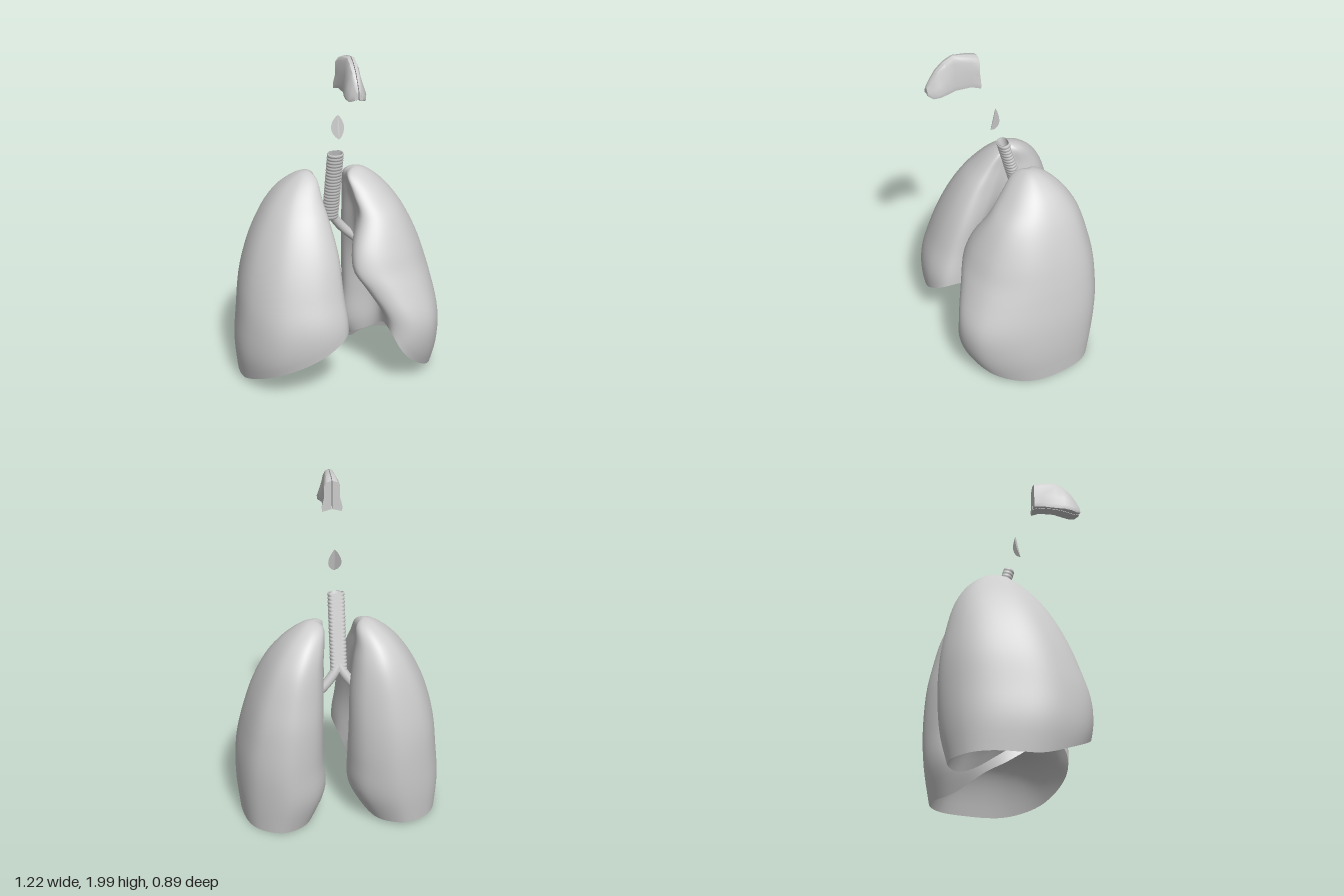
import * as THREE from 'three';
import { toCreasedNormals } from 'three/addons/utils/BufferGeometryUtils.js';

const TOP = 1.235; // apex height of the lungs
const grey = new THREE.MeshStandardMaterial({ color: 0xcccccc, roughness: 0.7 });
const greyThin = new THREE.MeshStandardMaterial({ color: 0xcccccc, roughness: 0.7, side: THREE.DoubleSide });

function mesh(name, geometry, material = grey) {
  const m = new THREE.Mesh(geometry, material);
  m.name = name;
  return m;
}

// Surface through rows of closed loops; point(i, j) gives [x, y, z]
function loft(rows, cols, point, flip) {
  const positions = [], index = [];
  for (let i = 0; i <= rows; i++)
    for (let j = 0; j < cols; j++) positions.push(...point(i, j));
  for (let i = 0; i < rows; i++)
    for (let j = 0; j < cols; j++) {
      const k = (j + 1) % cols;
      const a = i * cols + j, b = a + cols, c = i * cols + k, d = c + cols;
      if (flip) index.push(a, b, c, c, b, d);
      else index.push(a, c, b, c, d, b);
    }
  const g = new THREE.BufferGeometry();
  g.setAttribute('position', new THREE.Float32BufferAttribute(positions, 3));
  g.setIndex(index);
  g.computeVertexNormals();
  return g;
}

// Horizontal lung outline: x = 0 medial to 1 lateral, z = -1 back to 1 front
const outline = new THREE.CatmullRomCurve3([
  [0.48, -1], [0.84, -0.76], [1, -0.1], [0.95, 0.45], [0.7, 0.87], [0.3, 1],
  [0.04, 0.88], [0.0, 0.5], [0.03, 0.05], [0.0, -0.4], [0.15, -0.82],
].map(([u, v]) => new THREE.Vector3(u, 0, v)), true);

// Levels: y, lateral x, medial x at front, medial x at back, front z, back z
const rightLevels = [
  [1.235, 0.15, 0.15, 0.15, -0.1, -0.1], [1.2, 0.24, 0.105, 0.1, -0.02, -0.2],
  [1.1, 0.35, 0.09, 0.09, 0.08, -0.3], [1.0, 0.42, 0.07, 0.07, 0.165, -0.355],
  [0.8, 0.515, 0.035, 0.04, 0.28, -0.41], [0.6, 0.57, 0.025, 0.03, 0.36, -0.44],
  [0.4, 0.595, 0.01, 0.03, 0.42, -0.445], [0.2, 0.61, 0.03, 0.05, 0.4, -0.43],
  [0, 0.59, 0.13, 0.16, 0.3, -0.39],
];
const leftLevels = [
  [1.235, 0.15, 0.15, 0.15, -0.1, -0.1], [1.2, 0.24, 0.085, 0.09, -0.02, -0.2],
  [1.1, 0.35, 0.1, 0.09, 0.08, -0.3], [1.0, 0.42, 0.115, 0.095, 0.165, -0.355],
  [0.8, 0.51, 0.045, 0.09, 0.28, -0.41], [0.7, 0.54, 0.045, 0.09, 0.32, -0.43],
  [0.6, 0.565, 0.11, 0.09, 0.36, -0.44], [0.4, 0.6, 0.215, 0.09, 0.42, -0.445],
  [0.2, 0.605, 0.18, 0.085, 0.4, -0.43], [0, 0.585, 0.2, 0.17, 0.3, -0.39],
];

function lung(name, side, levels, rimLow, rimFlat, rimRise, hollow) {
  const rows = 44, cols = 88, baseRows = 14;
  const depth = (y) => Math.sqrt(TOP - y); // rounds the apex
  const bump = (x, middle, width) => Math.exp(-(((x - middle) / width) ** 2));
  const shape = new THREE.CubicInterpolant(
    levels.map((l) => depth(l[0])), levels.flatMap((l) => l.slice(1)), 5, new Array(5));
  const wall = (t, j) => {
    const { x, z: v } = outline.getPoint(j / cols);
    // The lower border climbs from the back to the front and the middle
    const m = THREE.MathUtils.clamp(x, 0, 1);
    const rim = rimLow + THREE.MathUtils.smoothstep(v, -0.9, 0.8) * (rimFlat * (1 - m ** 4) + rimRise * (1 - m) ** 2);
    const q = t * depth(rim), y = TOP - q * q;
    // Hollow of the medial face, around the heart
    const u = x + hollow * bump(v, 0.08, 0.36) * bump(y, 0.6, 0.32) * Math.max(0, 1 - 2 * x);
    const [outer, inFront, inBack, front, back] = shape.evaluate(q);
    const f = (v + 1) / 2;
    const inner = THREE.MathUtils.lerp(inBack, inFront, THREE.MathUtils.smoothstep(f, 0.3, 0.8));
    return [side * (inner + u * (outer - inner)), y, back + f * (front - back)];
  };
  const centre = [side * 0.34, 0.33, -0.03];
  const base = (i, j) => {
    const r = 1 - i / baseRows, p = wall(1, j);
    return [
      centre[0] + (p[0] - centre[0]) * r,
      centre[1] + (p[1] - centre[1]) * r * r * r,
      centre[2] + (p[2] - centre[2]) * r,
    ];
  };
  const g = new THREE.Group();
  g.name = name;
  g.add(mesh('lungWall', loft(rows, cols, (i, j) => wall(i / rows, j), side < 0)));
  g.add(mesh('lungBase', loft(baseRows, cols, base, side < 0)));
  return g;
}

// Ringed windpipe with a flat back, leaning backwards as it descends
function windpipe() {
  const rings = 21, steps = rings * 6, y0 = 0.92, y1 = 1.36, profile = [];
  for (let i = 0; i <= steps; i++) {
    const ripple = Math.abs(Math.sin((i / steps) * rings * Math.PI));
    profile.push(new THREE.Vector2(0.046 + 0.004 * ripple, y0 + (y1 - y0) * i / steps));
  }
  profile.push(new THREE.Vector2(0.038, y1), new THREE.Vector2(0.036, y1 - 0.05));
  const g = new THREE.LatheGeometry(profile, 32);
  const p = g.attributes.position;
  for (let i = 0; i < p.count; i++) {
    const y = p.getY(i), z = Math.max(p.getZ(i) * 0.75, -0.027);
    p.setXYZ(i, p.getX(i), y + z * -0.2, z - 0.005 - (y1 - y) * 0.27);
  }
  g.computeVertexNormals();
  return mesh('windpipe', g, greyThin);
}

function bronchus(name, side) {
  const path = new THREE.CatmullRomCurve3([
    [0, 0.96, -0.115], [side * 0.02, 0.92, -0.127], [side * 0.08, 0.84, -0.14], [side * 0.2, 0.73, -0.145],
  ].map((p) => new THREE.Vector3(...p)));
  return mesh(name, new THREE.TubeGeometry(path, 20, 0.028, 16), greyThin);
}

// Thin leaf, pointed below and folded along its middle
function epiglottis() {
  const g = new THREE.PlaneGeometry(2, 1, 12, 14);
  const p = g.attributes.position;
  for (let i = 0; i < p.count; i++) {
    const u = p.getX(i), t = p.getY(i) + 0.5;
    const w = 0.037 * Math.pow(Math.sin(Math.PI * Math.pow(t, 0.85)), 0.8) + 0.001;
    p.setXYZ(i, u * w, 1.465 + 0.135 * t, 0.072 - 0.03 * t - 0.022 * Math.abs(u) * (w / 0.037));
  }
  g.computeVertexNormals();
  return mesh('epiglottis', g, greyThin);
}

// Nose half. Sections: z, top y, bottom y, half widths near top, middle and bottom
const noseSections = [
  [0.15, 1.97, 1.79, 0.046, 0.046, 0.06], [0.2, 1.985, 1.805, 0.043, 0.04, 0.048],
  [0.29, 2.0, 1.805, 0.03, 0.034, 0.045], [0.34, 1.975, 1.8, 0.03, 0.042, 0.056],
  [0.385, 1.935, 1.792, 0.027, 0.044, 0.059], [0.42, 1.885, 1.786, 0.022, 0.036, 0.047],
  [0.445, 1.845, 1.8, 0.012, 0.02, 0.024],
];
function noseHalf(name, side) {
  const n = noseSections.length, gap = 0.002;
  const point = (i, j) => {
    const [z, top, bottom, a, b, c] = noseSections[Math.min(Math.max(i - 1, 0), n - 1)];
    const h = top - bottom;
    const ring = [
      [gap, top], [a * 0.65, top - h * 0.04], [a, top - h * 0.17], [b, top - h * 0.55],
      [c, top - h * 0.85], [c * 0.95, bottom], [gap, bottom + h * 0.08],
    ];
    const [x, y] = i === 0 || i === n + 1 ? [b * 0.5, (top + bottom) / 2] : ring[j];
    return [side * x, y, z];
  };
  return mesh(name, toCreasedNormals(loft(n + 1, 7, point, side > 0), 0.7));
}

export function createModel() {
  const model = new THREE.Group();
  model.name = 'respiratorySystem';
  model.add(
    lung('rightLung', -1, rightLevels, 0.025, 0.13, 0.24, 0.2),
    lung('leftLung', 1, leftLevels, 0.012, 0.05, 0.32, 0.3),
    windpipe(),
    bronchus('rightBronchus', -1),
    bronchus('leftBronchus', 1),
    epiglottis(),
    noseHalf('rightNoseHalf', -1),
    noseHalf('leftNoseHalf', 1),
  );
  return model;
}
